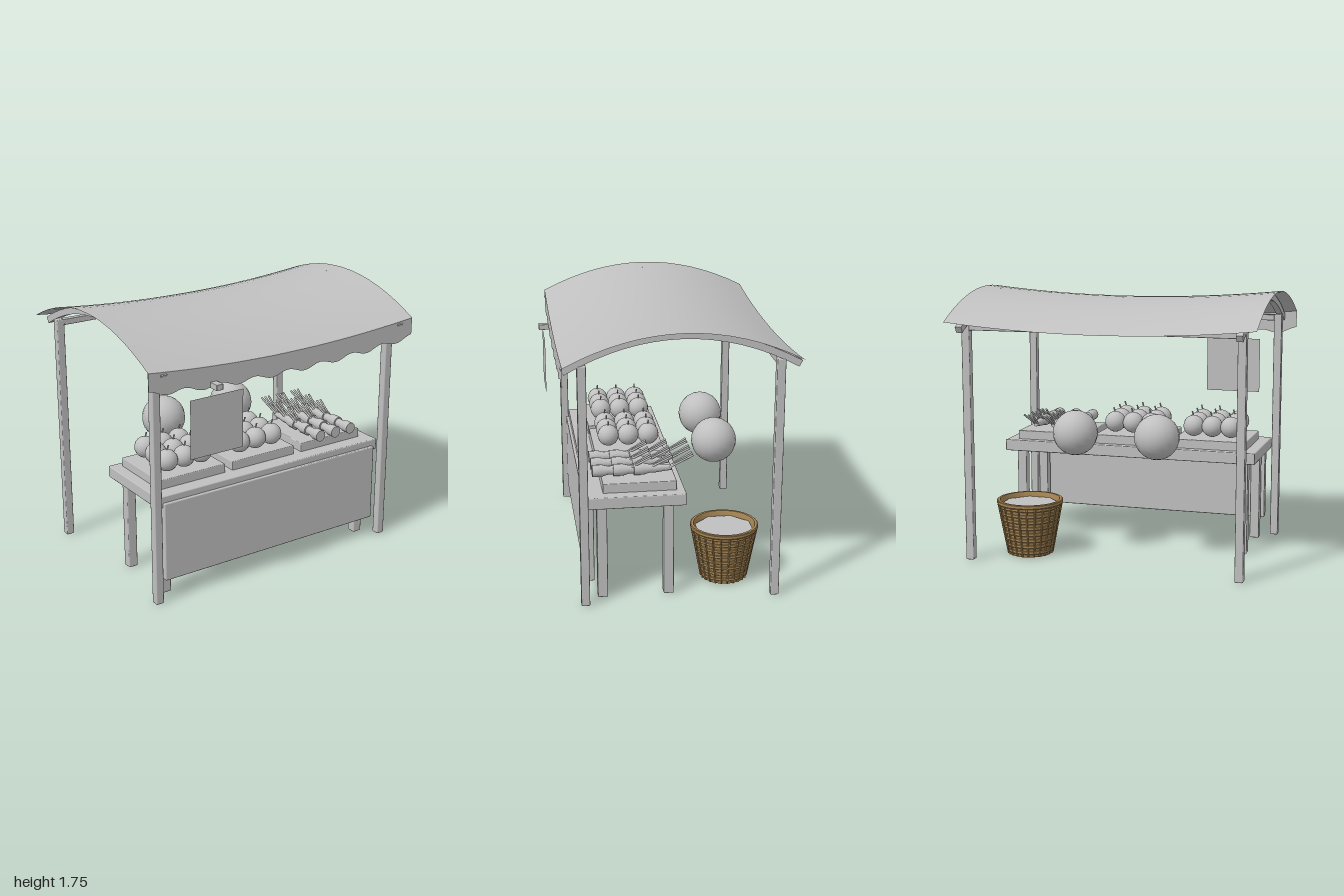
import * as THREE from 'three';
import { toCreasedNormals } from 'three/addons/utils/BufferGeometryUtils.js';
import { RoundedBoxGeometry } from 'three/addons/geometries/RoundedBoxGeometry.js';

const grey = new THREE.MeshStandardMaterial({ color: 0xc0c0c0, side: THREE.DoubleSide });
grey.name = 'plain grey';
const wicker = new THREE.MeshStandardMaterial({ color: 0xa58453, side: THREE.DoubleSide });
wicker.name = 'wicker brown';

export function createModel() {
  const model = new THREE.Group();
  model.name = 'marketStall';

  const add = (name, geo, mat = grey, parent = model) => {
    const mesh = new THREE.Mesh(geo, mat);
    mesh.name = name;
    parent.add(mesh);
    return mesh;
  };
  // Softly bevelled box given by its min and max on each axis
  const box = (name, x0, x1, y0, y1, z0, z1, r = 0.007) =>
    add(name, new RoundedBoxGeometry(x1 - x0, y1 - y0, z1 - z0, 1, r))
      .position.set((x0 + x1) / 2, (y0 + y1) / 2, (z0 + z1) / 2);
  // Thin rod between two points
  const rod = (name, a, b, r, mat, parent) => {
    const d = b.clone().sub(a);
    const mesh = add(name, new THREE.CylinderGeometry(r, r, d.length(), 6), mat, parent);
    mesh.position.copy(a).addScaledVector(d, 0.5);
    mesh.quaternion.setFromUnitVectors(new THREE.Vector3(0, 1, 0), d.normalize());
    return mesh;
  };
  const V = (x, y, z) => new THREE.Vector3(x, y, z);

  // Frame: four posts, two long beams, two arched rafters
  for (const x of [-0.894, 0.894]) {
    for (const z of [0.567, -0.625]) box('post', x - 0.027, x + 0.027, 0, 1.548, z - 0.027, z + 0.027);
  }
  for (const z of [0.567, -0.625]) box('longBeam', -0.87, 0.87, 1.505, 1.545, z - 0.02, z + 0.02, 0.004);

  const midZ = -0.03, half = 0.722, N = 16;
  const top = [], under = [];
  for (let i = 0; i <= N; i++) {
    const u = (i / N) * 2 - 1;
    const s = u * half, y = 1.735 - 0.2 * u * u;
    const slope = -0.4 * u / half, len = Math.hypot(1, slope);
    top.push(new THREE.Vector2(s - midZ, y));
    under.push(new THREE.Vector2(s - midZ + 0.043 * slope / len, y - 0.043 / len));
  }
  const archShape = new THREE.Shape([...top, ...under.reverse()]);
  for (const x of [-0.897, 0.897]) {
    const g = new THREE.ExtrudeGeometry(archShape, { depth: 0.042, bevelEnabled: false });
    g.rotateY(Math.PI / 2);
    g.translate(x - 0.021, 0, 0);
    add('archedRafter', g);
  }

  // Canopy cloth: arched front to back, sagging along its length
  const sag = x => 0.053 * x * x;
  const canopy = new THREE.PlaneGeometry(2, 1.43, 24, 16);
  canopy.rotateX(-Math.PI / 2);
  const cp = canopy.attributes.position;
  for (let i = 0; i < cp.count; i++) {
    const u = cp.getZ(i) / 0.715;
    cp.setY(i, 1.694 + sag(cp.getX(i)) - 0.185 * u * u);
    cp.setZ(i, cp.getZ(i) + midZ);
  }
  canopy.computeVertexNormals();
  add('canopy', canopy);

  // Scalloped valance along the front edge
  const valance = new THREE.PlaneGeometry(2, 1, 96, 1);
  const vp = valance.attributes.position;
  for (let i = 0; i < vp.count; i++) {
    const x = vp.getX(i);
    const drop = vp.getY(i) > 0 ? 0 : 0.112 + 0.03 * Math.sin(Math.PI * x / 0.25) ** 2;
    vp.setXYZ(i, x, 1.51 + sag(x) - drop, 0.684);
  }
  add('valance', valance);

  // Hanging sign and its arm
  box('signArm', -0.575, -0.528, 1.391, 1.428, 0.56, 0.751, 0.002);
  add('signBoard', new THREE.PlaneGeometry(0.378, 0.375)).position.set(-0.551, 1.168, 0.718);

  // Table with front panel and legs
  box('tableTop', -0.868, 0.868, 0.62, 0.696, -0.07, 0.54);
  box('frontPanel', -0.83, 0.83, 0.128, 0.653, 0.503, 0.56);
  for (const x of [-0.778, 0.778]) {
    for (const z of [0.45, 0.033]) box('tableLeg', x - 0.032, x + 0.032, 0, 0.63, z - 0.032, z + 0.032);
  }
  for (const x of [-0.549, -0.003, 0.547]) box('tray', x - 0.245, x + 0.245, 0.69, 0.755, -0.019, 0.44, 0.006);

  // Round fruit with stems, three by three on two trays
  const fruitGeo = new THREE.SphereGeometry(0.07, 16, 12);
  for (const cx of [-0.551, -0.003]) {
    for (let i = -1; i <= 1; i++) for (let j = -1; j <= 1; j++) {
      const fruit = new THREE.Group();
      fruit.name = 'fruit';
      fruit.position.set(cx + i * 0.126, 0.835, 0.21 + j * 0.132);
      add('fruitBody', fruitGeo, grey, fruit);
      rod('fruitStem', V(0, 0.06, 0), V(0.012, 0.097, 0), 0.005, grey, fruit);
      model.add(fruit);
    }
  }

  // Leeks: thick root end to the front, leaves fanning up and back
  const leekProfile = [[0, 0], [0.038, 0], [0.038, 0.06], [0.028, 0.095], [0.028, 0.13], [0.016, 0.235], [0, 0.235]]
    .map(p => new THREE.Vector2(...p));
  const leekGeo = toCreasedNormals(new THREE.LatheGeometry(leekProfile, 12).rotateX(-Math.PI / 2), 0.7);
  for (let i = -1; i <= 1; i++) for (let j = -1; j <= 1; j++) {
    const leek = new THREE.Group();
    leek.name = 'leek';
    leek.position.set(0.546 + i * 0.126, 0.8, 0.366 + j * 0.13);
    add('leekStalk', leekGeo, grey, leek);
    for (const k of [-1, 0, 1]) rod('leekLeaf', V(k * 0.008, 0, -0.215), V(k * 0.03, 0.085, -0.368), 0.007, grey, leek);
    model.add(leek);
  }

  // Two large globes behind the counter
  for (const x of [-0.284, 0.268]) {
    add('globe', new THREE.SphereGeometry(0.147, 18, 14)).position.set(x, 0.823, -0.337);
  }

  // Woven basket: stepped bands, rim, inner wall and uprights
  const basket = new THREE.Group();
  basket.name = 'basket';
  basket.position.set(0.583, 0, -0.357);
  const wall = y => 0.142 + 0.062 * y / 0.34;
  const profile = [[0, 0]];
  const bands = 8, step = 0.34 / bands;
  for (let i = 0; i < bands; i++) {
    const y = i * step;
    profile.push([wall(y), y], [wall(y) + 0.004, y + step * 0.45], [wall(y) + 0.014, y + step * 0.6], [wall(y) + 0.014, y + step * 0.95]);
  }
  profile.push([0.214, 0.338], [0.219, 0.345], [0.219, 0.362], [0.214, 0.366], [0.198, 0.366], [0.194, 0.355], [0.185, 0.28]);
  const basketGeo = new THREE.LatheGeometry(profile.map(p => new THREE.Vector2(...p)), 28);
  add('basketWall', toCreasedNormals(basketGeo, 0.6), wicker, basket);
  for (let i = 0; i < 24; i++) {
    const a = i / 24 * Math.PI * 2, c = Math.cos(a), s = Math.sin(a);
    rod('basketUpright', V(0.147 * c, 0.003, 0.147 * s), V(0.211 * c, 0.34, 0.211 * s), 0.006, wicker, basket);
  }
  const filling = add('basketFilling', new THREE.CircleGeometry(0.192, 8), grey, basket);
  filling.rotation.set(-Math.PI / 2, 0, Math.PI / 8);
  filling.position.y = 0.335;
  model.add(basket);

  return model;
}
